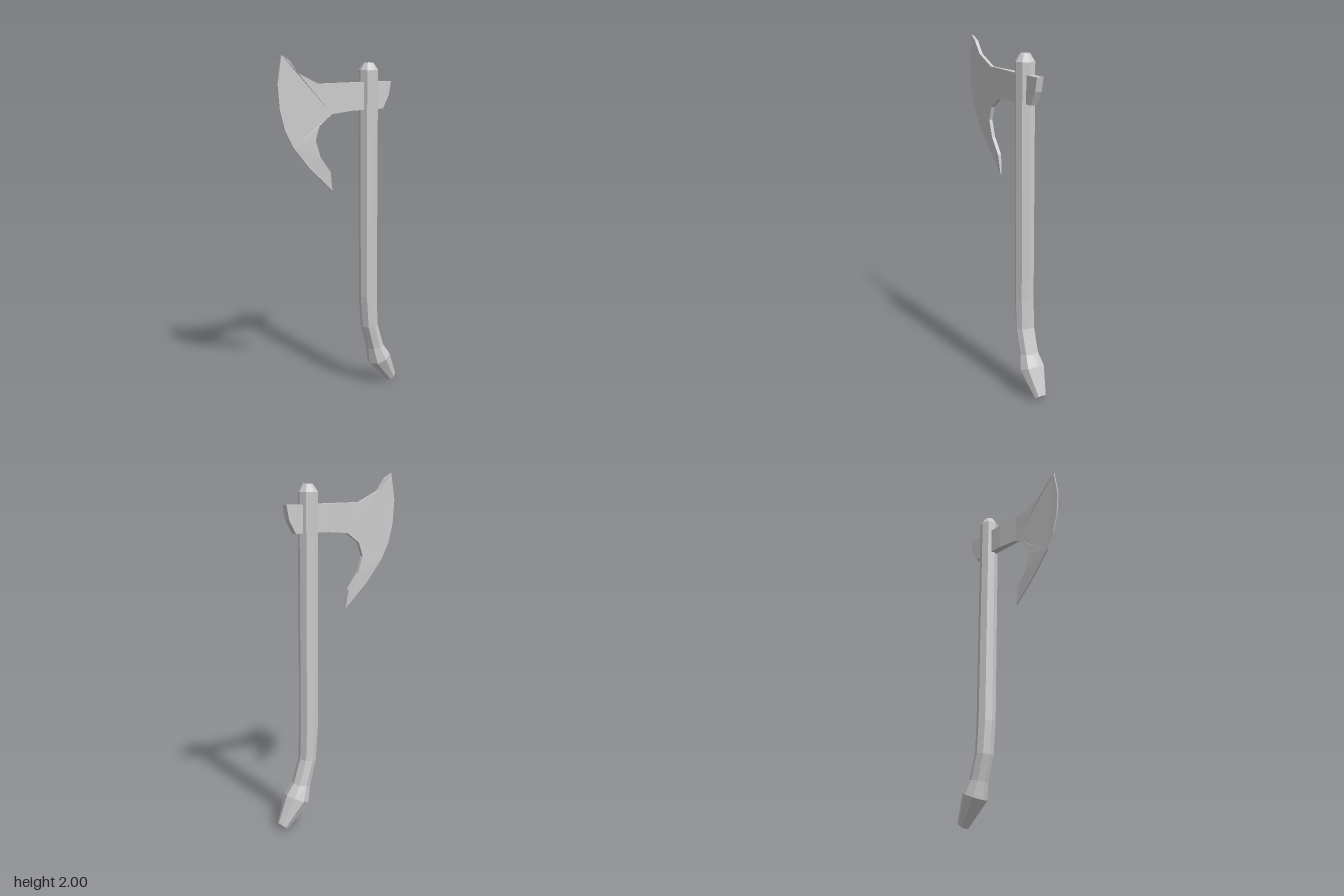
import * as THREE from 'three';

const material = new THREE.MeshStandardMaterial({ color: 0xcccccc, flatShading: true });

function makeMesh(name, tris) {
  const g = new THREE.BufferGeometry();
  g.setAttribute('position', new THREE.Float32BufferAttribute(tris.flat(), 3));
  g.computeVertexNormals();
  const m = new THREE.Mesh(g, material);
  m.name = name;
  return m;
}

const quad = (a, b, c, d) => [a, b, c, a, c, d];

// Eight-sided shaft; each ring is [front z, front y, back z, back y, half width], bottom to top
function shaft(name, rings) {
  const sides = 8;
  const loops = rings.map(([fz, fy, bz, by, w]) =>
    Array.from({ length: sides }, (_, k) => {
      const a = (k / sides) * Math.PI * 2, c = Math.cos(a) / 2;
      return [w * Math.sin(a), (fy + by) / 2 + c * (fy - by), (fz + bz) / 2 + c * (fz - bz)];
    }));
  const tris = [];
  for (let i = 0; i < loops.length - 1; i++)
    for (let k = 0; k < sides; k++) {
      const n = (k + 1) % sides;
      tris.push(...quad(loops[i][k], loops[i][n], loops[i + 1][n], loops[i + 1][k]));
    }
  // End caps
  const bottom = loops[0], top = loops[loops.length - 1];
  for (let k = 1; k < sides - 1; k++)
    tris.push(bottom[0], bottom[k + 1], bottom[k], top[0], top[k], top[k + 1]);
  return makeMesh(name, tris);
}

// Upright plate; outline points are [z, y, half thickness], counter-clockwise in (z, y)
function plate(name, outline) {
  const faces = THREE.ShapeUtils.triangulateShape(outline.map(([z, y]) => new THREE.Vector2(z, y)), []);
  const at = ([z, y, h], s) => [s * h, y, z];
  const tris = [];
  for (const [a, b, c] of faces) {
    tris.push(at(outline[a], -1), at(outline[b], -1), at(outline[c], -1));
    tris.push(at(outline[c], 1), at(outline[b], 1), at(outline[a], 1));
  }
  outline.forEach((p, i) => {
    const q = outline[(i + 1) % outline.length];
    tris.push(...quad(at(p, -1), at(p, 1), at(q, 1), at(q, -1)));
  });
  return makeMesh(name, tris);
}

export function createModel() {
  const group = new THREE.Group();
  group.name = 'axe';

  // Handle with a curved, flared grip and chamfered top
  group.add(shaft('handle', [
    [-0.36, 0.0, -0.413, 0.045, 0.034],
    [-0.222, 0.138, -0.354, 0.2, 0.074],
    [-0.206, 0.238, -0.307, 0.26, 0.056],
    [-0.164, 0.387, -0.26, 0.4, 0.056],
    [-0.147, 0.583, -0.254, 0.572, 0.056],
    [-0.138, 1.91, -0.247, 1.91, 0.056],
    [-0.165, 1.952, -0.221, 1.952, 0.028],
  ]));

  // Axe head: thick poll, tapering neck and thin bearded blade
  const head = new THREE.Group();
  head.name = 'axeHead';
  const thick = 0.02, thin = 0.01, edge = 0.004;
  head.add(plate('poll', [
    [-0.344, 1.844, thick], [-0.328, 1.765, thick], [-0.286, 1.69, thick],
    [-0.07, 1.688, thick], [-0.07, 1.844, thick],
  ]));
  head.add(plate('neck', [
    [-0.07, 1.844, thick], [-0.07, 1.688, thick], [0.069, 1.675, thin], [0.069, 1.844, thin],
  ]));
  head.add(plate('blade', [
    [0.069, 1.844, thin], [0.069, 1.675, thin], [0.153, 1.616, thin], [0.18, 1.537, thin],
    [0.148, 1.441, thin], [0.079, 1.351, thin],
    // Cutting edge
    [0.063, 1.245, edge], [0.217, 1.383, edge], [0.323, 1.505, edge], [0.376, 1.6, edge],
    [0.407, 1.712, edge], [0.418, 1.844, edge], [0.392, 2.0, edge],
    // Upper horn
    [0.344, 1.971, thin], [0.291, 1.902, thin], [0.159, 1.844, thin],
  ]));
  group.add(head);
  return group;
}
